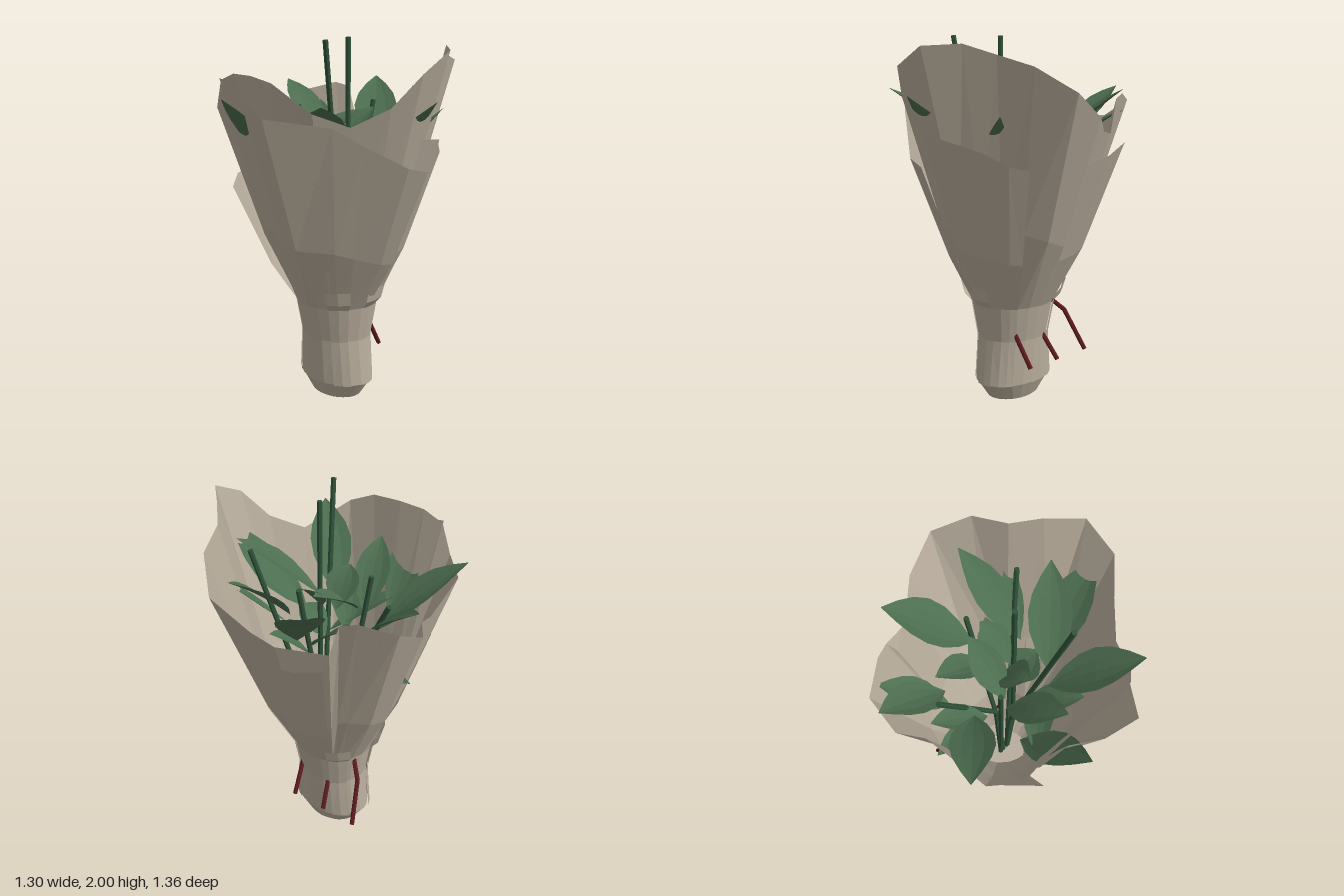
import * as THREE from 'three';

const material = (name, color) =>
  Object.assign(new THREE.MeshStandardMaterial({ color, side: THREE.DoubleSide, flatShading: true }), { name });

export function createModel() {
  const group = new THREE.Group();
  const paper = material('wrapping paper', 0xb8ad9c);
  const leafGreen = material('leaf green', 0x4d6e50);
  const stemGreen = material('stem green', 0x2f5238);
  const red = material('ribbon red', 0x5c1a1f);
  const CX = -0.04;

  const add = (geo, mat, name) => {
    const mesh = new THREE.Mesh(geo, mat);
    mesh.name = name;
    group.add(mesh);
    return mesh;
  };

  // Surface through rows of points of equal length
  function skin(rows, closed) {
    const n = rows[0].length, idx = [];
    for (let r = 0; r < rows.length - 1; r++) {
      for (let i = 0; i < (closed ? n : n - 1); i++) {
        const j = (i + 1) % n, a = r * n + i, b = r * n + j;
        idx.push(a, a + n, b, b, a + n, b + n);
      }
    }
    const geo = new THREE.BufferGeometry();
    geo.setAttribute('position', new THREE.Float32BufferAttribute(rows.flat(2), 3));
    geo.setIndex(idx);
    geo.computeVertexNormals();
    return geo;
  }

  // Paper sheet: gathered oval foot and waist (rx, rz, y) flaring out to a given rim
  function sheet(rim, offset, closed, name) {
    const foot = [[0.16, 0.12, 0], [0.228, 0.165, 0.1], [0.2, 0.175, 0.36], [0.23, 0.215, 0.56]];
    const rows = foot.slice(closed ? 0 : 1).map(([rx, rz, y]) => rim.map(([x, , z]) => {
      const a = Math.atan2(z, x - CX);
      return [CX + (rx + offset) * Math.cos(a), y, (rz + offset) * Math.sin(a)];
    }));
    const waist = rows[rows.length - 1];
    rows.push(rim.map((p, i) => p.map((v, k) => {
      const bulge = k === 1 ? 0 : 0.035 * (k ? p[2] : p[0] - CX) / 0.65;
      return waist[i][k] + (v - waist[i][k]) * 0.35 + bulge;
    })));
    rows.push(rim);
    add(skin(rows, closed), paper, name);
  }

  sheet([
    [0.64, 1.86, 0.09], [0.54, 1.7, 0.2], [0.41, 1.61, 0.34], [0.32, 1.68, 0.5],
    [0.25, 1.74, 0.55], [0.1, 1.81, 0.56], [-0.08, 1.83, 0.54], [-0.23, 1.83, 0.53],
    [-0.35, 1.79, 0.52], [-0.42, 1.64, 0.5], [-0.54, 1.6, 0.38], [-0.54, 1.5, 0.12],
    [-0.56, 1.54, 0], [-0.64, 1.55, -0.12], [-0.62, 1.65, -0.3], [-0.46, 1.7, -0.4],
    [-0.38, 1.68, -0.43], [-0.33, 1.5, -0.44], [-0.12, 1.54, -0.58], [-0.03, 1.62, -0.64],
    [0.17, 1.75, -0.68], [0.32, 1.87, -0.54], [0.39, 1.92, -0.36], [0.5, 1.97, -0.24],
    [0.64, 1.96, -0.1],
  ], 0, true, 'innerWrap');

  // Overlapping outer layers
  const layers = {
    frontWrap: [
      [0.59, 1.37, -0.02], [0.57, 1.4, 0.1], [0.45, 1.52, 0.29], [0.37, 1.61, 0.42],
      [0.17, 1.66, 0.68], [-0.03, 1.72, 0.64], [-0.18, 1.77, 0.55], [-0.35, 1.8, 0.53],
    ],
    leftBackWrap: [[0.56, 1.53, 0], [0.54, 1.51, -0.16], [0.42, 1.45, -0.3], [0.35, 1.39, -0.4], [0.27, 1.37, -0.46]],
    rightFrontWrap: [[-0.28, 1.24, 0.52], [-0.42, 1.27, 0.38], [-0.47, 1.28, 0.27]],
    rightBackWrap: [[-0.35, 1.46, -0.52], [-0.2, 1.41, -0.55], [-0.02, 1.38, -0.57]],
  };
  for (const [name, rim] of Object.entries(layers)) sheet(rim, 0.006, false, name);

  // Short paper tabs around the waist
  for (const a of [-0.1, 0.75, 2.7, 4.0]) {
    const rim = [-0.24, 0, 0.24].map(d => [CX + 0.295 * Math.cos(a + d), 0.68, 0.295 * Math.sin(a + d)]);
    sheet(rim, 0.012, false, 'waistTab');
  }

  const base = new THREE.CircleGeometry(1, 16).rotateX(Math.PI / 2).scale(0.16, 1, 0.12).translate(CX, 0, 0);
  add(base, paper, 'wrapBase');

  // Stems
  const rod = (points, radius, mat, name) => {
    for (let i = 0; i < points.length - 1; i++) {
      const a = new THREE.Vector3(...points[i]), b = new THREE.Vector3(...points[i + 1]);
      const geo = new THREE.CylinderGeometry(radius, radius, a.distanceTo(b), 7);
      const mesh = add(geo, mat, name);
      mesh.position.copy(a).add(b).multiplyScalar(0.5);
      mesh.quaternion.setFromUnitVectors(new THREE.Vector3(0, 1, 0), b.sub(a).normalize());
    }
  };
  const stems = [
    [[0.05, 0.5, 0], [0.05, 2, 0]],
    [[0.03, 0.55, 0], [0.155, 2, 0.26]],
    [[0.03, 0.55, -0.02], [0.31, 1.75, -0.23]],
    [[-0.08, 0.9, -0.01], [-0.41, 1.6, -0.06]],
    [[-0.07, 0.55, 0.02], [-0.18, 1.6, 0.13]],
    [[-0.03, 0.55, -0.04], [-0.015, 1.65, -0.26]],
  ];
  for (const [foot, top] of stems) rod([[CX + (foot[0] - CX) * 0.5, 0.1, 0], foot, top], 0.014, stemGreen, 'stem');

  // Red ends poking out of the back of the waist
  rod([[-0.22, 0.56, -0.06], [-0.31, 0.46, -0.14], [-0.36, 0.24, -0.26]], 0.013, red, 'redEnd');
  rod([[0.075, 0.41, -0.14], [0.055, 0.23, -0.25]], 0.013, red, 'redEnd');
  rod([[-0.11, 0.41, -0.13], [-0.15, 0.23, -0.25]], 0.013, red, 'redEnd');

  // Cupped leaf from base to tip, curved by arch
  function leaf(from, to, width, arch = 0.02) {
    const a = new THREE.Vector3(...from), b = new THREE.Vector3(...to);
    const side = new THREE.Vector3(-(b.z - a.z), 0, b.x - a.x).normalize();
    const rows = [];
    for (let i = 0; i <= 6; i++) {
      const t = i / 6, p = a.clone().lerp(b, t);
      p.y += arch * 4 * t * (1 - t);
      const w = width / 2 * Math.sin(Math.PI * Math.pow(t, 0.9)) + 0.002;
      rows.push([-1, -0.5, 0, 0.5, 1].map(s =>
        [p.x + side.x * w * s, p.y + s * s * w * 0.3, p.z + side.z * w * s]));
    }
    add(skin(rows, false), leafGreen, 'leaf');
  }

  // Large outer leaves
  leaf([0.01, 1.34, -0.25], [-0.28, 1.74, -0.56], 0.24);
  leaf([0.19, 1.34, -0.08], [0.2, 1.74, -0.52], 0.19);
  leaf([0.15, 1.36, 0.15], [0.47, 1.73, -0.15], 0.22);
  leaf([0.09, 1.36, 0.2], [0.4, 1.72, 0.52], 0.22);
  leaf([-0.28, 1.36, 0.04], [-0.6, 1.72, 0.35], 0.22);
  leaf([-0.3, 1.42, -0.14], [-0.65, 1.72, -0.19], 0.19);
  leaf([-0.14, 1.36, 0.13], [-0.04, 1.66, 0.43], 0.18);
  leaf([-0.2, 1.3, 0.28], [-0.15, 1.72, 0.67], 0.19, 0);
  leaf([0.17, 1.33, 0.04], [0.65, 1.72, 0], 0.24, -0.04);
  leaf([0.2, 1.3, -0.1], [0.385, 1.63, -0.375], 0.1, 0);
  // Smaller inner leaves
  leaf([0, 1.25, -0.15], [-0.3, 1.5, -0.2], 0.16);
  leaf([-0.32, 1.35, -0.09], [-0.54, 1.6, -0.34], 0.16);
  leaf([-0.12, 1.4, 0.1], [-0.06, 1.6, -0.2], 0.17);
  leaf([0.03, 1.42, -0.01], [0.03, 1.62, -0.21], 0.16);
  leaf([-0.05, 1.42, 0], [-0.02, 1.6, 0.17], 0.18);
  leaf([0.03, 1.2, 0.02], [0.2, 1.35, 0.02], 0.19);
  leaf([0.03, 1.15, -0.1], [0.15, 1.35, -0.3], 0.15);
  leaf([-0.02, 1.2, 0.14], [0.16, 1.4, 0.38], 0.16);
  leaf([-0.2, 1.2, 0.05], [-0.47, 1.42, -0.07], 0.15);
  leaf([0.1, 1.15, 0.15], [-0.22, 1.4, 0.4], 0.15);
  leaf([-0.22, 1.02, 0], [-0.52, 1.15, 0], 0.12);

  return group;
}
